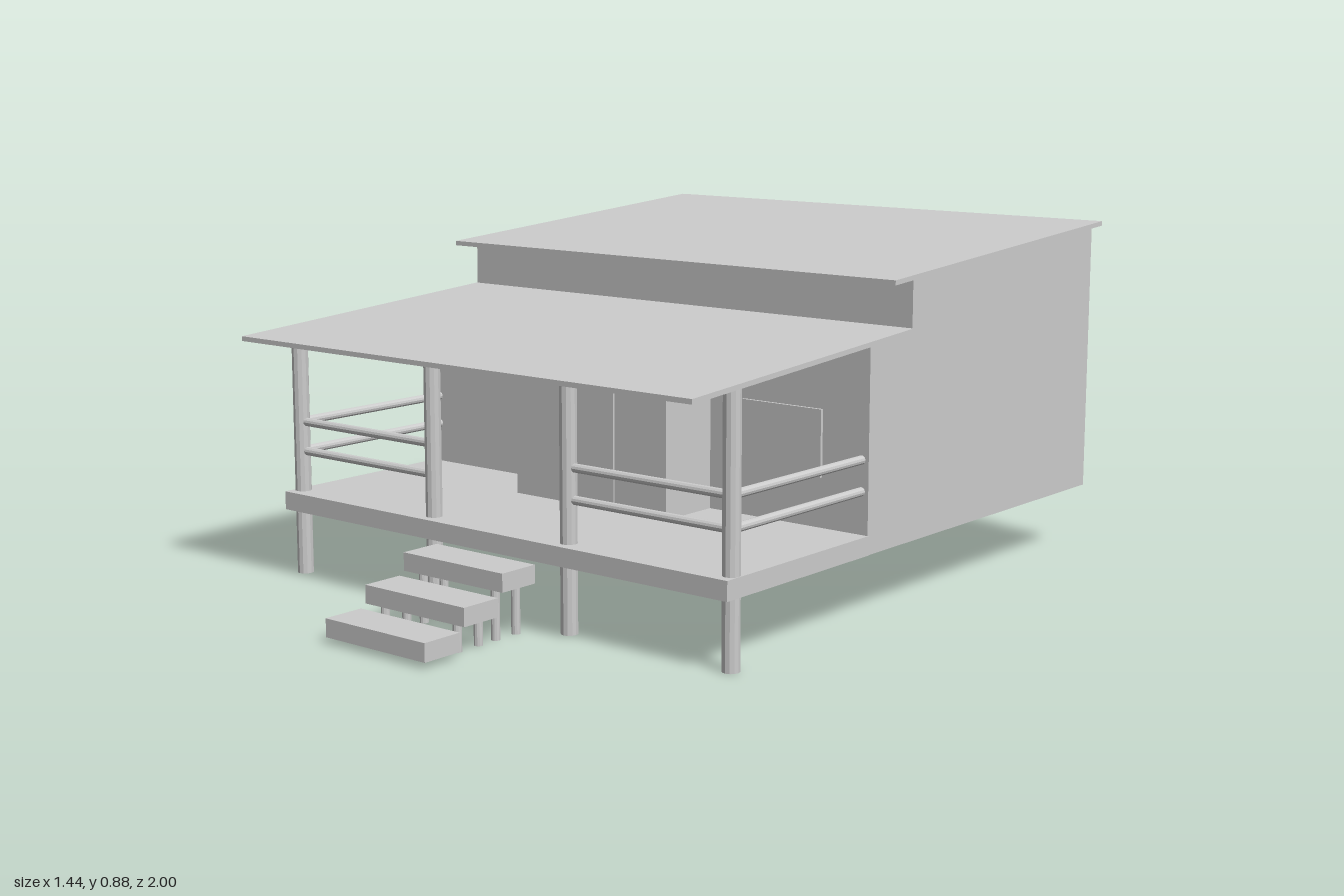
import * as THREE from 'three';

const material = new THREE.MeshStandardMaterial({ color: 0xcccccc });
const smoothless = new THREE.MeshStandardMaterial({ color: 0xcccccc, flatShading: true });

export function createModel() {
  const house = new THREE.Group();
  house.name = 'porchCabin';

  const add = (name, geometry, mat = material) => {
    const mesh = new THREE.Mesh(geometry, mat);
    mesh.name = name;
    house.add(mesh);
  };

  // Box given by its limits on each axis
  const box = (name, [x0, x1], [y0, y1], [z0, z1]) => add(name,
    new THREE.BoxGeometry(x1 - x0, y1 - y0, z1 - z0)
      .translate((x0 + x1) / 2, (y0 + y1) / 2, (z0 + z1) / 2));

  // Side profile of [z, y] points, extruded across x
  const profile = (name, points, width) => {
    const shape = new THREE.Shape(points.map(([z, y]) => new THREE.Vector2(z, y)));
    add(name, new THREE.ExtrudeGeometry(shape, { depth: width, bevelEnabled: false })
      .translate(0, 0, -width / 2).rotateY(-Math.PI / 2));
  };

  // Round pole between two points
  const pole = (name, from, to, radius, sides = 12) => {
    const a = new THREE.Vector3(...from), b = new THREE.Vector3(...to);
    const dir = b.clone().sub(a);
    const turn = new THREE.Quaternion().setFromUnitVectors(
      new THREE.Vector3(0, 1, 0), dir.clone().normalize());
    const mid = a.add(b).multiplyScalar(0.5);
    add(name, new THREE.CylinderGeometry(radius, radius, dir.length(), sides)
      .applyQuaternion(turn).translate(mid.x, mid.y, mid.z), smoothless);
  };

  // Main body with its stepped top, and the entrance room
  profile('body', [[-0.95, 0.17], [0.085, 0.17], [0.085, 0.667], [-0.09, 0.679],
    [-0.09, 0.806], [-0.95, 0.866]], 1.43);
  profile('entranceRoom', [[0.08, 0.2], [0.258, 0.2], [0.258, 0.655], [0.08, 0.667]], 0.49);

  // Sloping roof sheets
  profile('porchRoof', [[0.75, 0.621], [0.75, 0.633], [-0.09, 0.69], [-0.09, 0.678]], 1.436);
  profile('mainRoof', [[-0.01, 0.8], [-0.01, 0.812], [-1, 0.88], [-1, 0.868]], 1.436);

  // Porch floor, door and windows
  box('deck', [-0.717, 0.717], [0.17, 0.217], [0.08, 0.625]);
  box('door', [-0.085, 0.082], [0.217, 0.56], [0.25, 0.263]);
  box('leftWindow', [0.348, 0.583], [0.34, 0.505], [0.08, 0.093]);
  box('rightWindow', [-0.583, -0.348], [0.34, 0.505], [0.08, 0.093]);

  // Posts and railings, mirrored
  const postZ = 0.582;
  for (const side of [-1, 1]) {
    for (const x of [0.22, 0.695]) {
      pole('porchPost', [side * x, 0, postZ], [side * x, 0.633, postZ], 0.021);
    }
    for (const y of [0.397, 0.321]) {
      pole('frontRail', [side * 0.22, y, postZ], [side * 0.695, y, postZ], 0.011);
      pole('sideRail', [side * 0.695, y, postZ], [side * 0.695, y, 0.08], 0.011);
    }
  }

  // Steps, the upper two on legs
  for (let i = 0; i < 3; i++) {
    const z = 0.945 - i * 0.125, y = 0.015 + i * 0.054;
    box('step', [-0.155, 0.166], [y, y + 0.045], [z - 0.055, z + 0.055]);
    if (i === 0) continue;
    for (const x of [-0.111, 0.123]) {
      for (const dz of [-0.034, 0.034]) {
        pole('stepLeg', [x, 0, z + dz], [x, y + 0.01, z + dz], 0.011);
      }
    }
  }

  return house;
}
